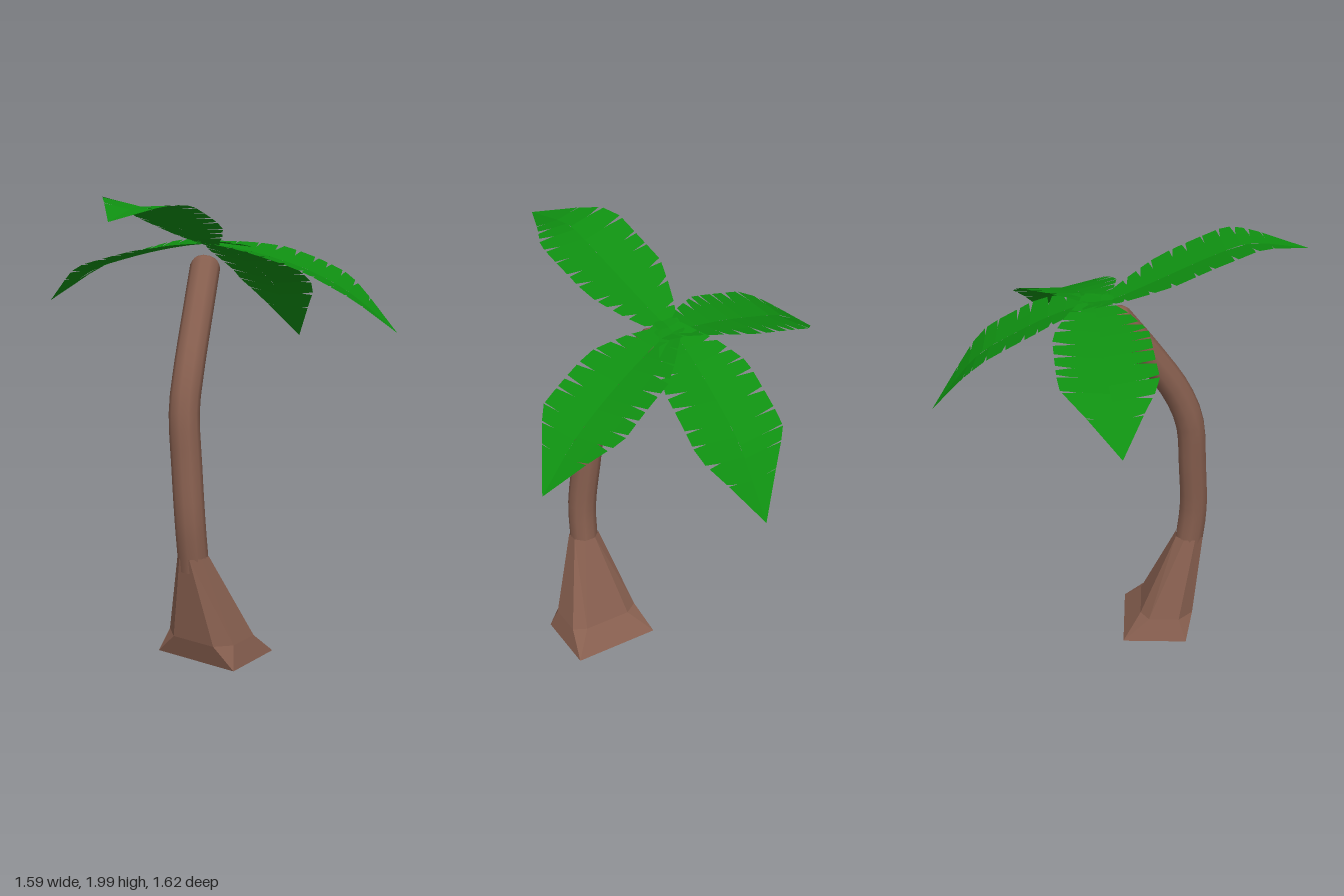
import * as THREE from 'three';

const bark = new THREE.MeshStandardMaterial({ color: 0x875f4f });
bark.name = 'bark brown';
const rootBark = bark.clone();
rootBark.name = 'root brown';
rootBark.flatShading = true;
const green = new THREE.MeshStandardMaterial({ color: 0x0f8f11, side: THREE.DoubleSide, flatShading: true });
green.name = 'leaf green';

const vec = (p) => new THREE.Vector3(...p);

// Geometry from a list of corner points, three per triangle
function fromTriangles(points) {
  const g = new THREE.BufferGeometry().setFromPoints(points);
  g.computeVertexNormals();
  return g;
}

function seeded(seed) {
  return () => (seed = (seed * 16807) % 2147483647) / 2147483647;
}

// Linear lookup in a list of [t, value]
function lookup(table, t) {
  for (let i = 1; i < table.length; i++) {
    const [t0, v0] = table[i - 1], [t1, v1] = table[i];
    if (t <= t1) return v0 + (v1 - v0) * (t - t0) / (t1 - t0);
  }
  return table[table.length - 1][1];
}

// Flared root: square foot rising to an octagonal neck
function makeRoot() {
  const L = 0.045, R = 0.445, F = 0.325, B = 0.03;
  const foot = [[L, F], [R, F], [R, F], [R, B], [R, B], [L, B], [L, B], [L, F]];
  const knee = [[0.15, 0.355], [0.36, 0.355], [0.42, 0.29], [0.42, 0.14],
    [0.36, 0.11], [0.14, 0.11], [0.08, 0.15], [0.08, 0.29]];
  const neck = knee.map((_, i) => {
    const a = (i * 2 - 5) * Math.PI / 8;
    return [0.24 + 0.068 * Math.cos(a), 0.335 - 0.068 * Math.sin(a)];
  });
  const rings = [[foot, 0], [knee, 0.1], [neck, 0.48]].map(([r, y]) => r.map(([x, z]) => vec([x, y, z])));
  const tris = [];
  for (let k = 0; k < 2; k++) {
    for (let i = 0; i < 8; i++) {
      const j = (i + 1) % 8, lo = rings[k], hi = rings[k + 1];
      tris.push(lo[j], hi[j], hi[i]);
      if (lo[i].distanceTo(lo[j]) > 0.001) tris.push(lo[i], lo[j], hi[i]);
    }
  }
  const f = rings[0];
  tris.push(f[0], f[5], f[3], f[0], f[3], f[1]);
  const mesh = new THREE.Mesh(fromTriangles(tris), rootBark);
  mesh.name = 'root';
  return mesh;
}

// Bent trunk with a rounded top
function makeTrunk() {
  const group = new THREE.Group();
  group.name = 'trunk';
  const path = new THREE.CatmullRomCurve3([
    [0.24, 0.42, 0.33], [0.235, 0.63, 0.35], [0.21, 0.87, 0.34], [0.184, 1.1, 0.322],
    [0.163, 1.26, 0.262], [0.11, 1.47, 0.13], [0.055, 1.655, 0.0],
  ].map(vec), false, 'centripetal');
  const stem = new THREE.Mesh(new THREE.TubeGeometry(path, 18, 0.065, 10), bark);
  stem.name = 'stem';
  const top = new THREE.Mesh(new THREE.SphereGeometry(0.065, 10, 8), bark);
  top.name = 'stemTop';
  top.scale.y = 0.7;
  top.position.copy(path.getPoint(1));
  top.quaternion.setFromUnitVectors(new THREE.Vector3(0, 1, 0), path.getTangent(1));
  group.add(stem, top);
  return group;
}

// Half width along the leaf
const widths = [[0, 0.04], [0.1, 0.07], [0.2, 0.13], [0.36, 0.2], [0.68, 0.205], [0.8, 0.125], [1, 0]];
const lastFinger = 0.82;

// Torn leaf: two halves around a midrib, each with slits along the rim
function makeLeaf(name, ribPoints, lifts, seed) {
  const rib = new THREE.CatmullRomCurve3(ribPoints.map(vec), false, 'centripetal');
  const random = seeded(seed);
  const tip = rib.getPointAt(1);
  const out = tip.clone().sub(rib.getPointAt(0)).setY(0).normalize();
  const side = new THREE.Vector3(out.z, 0, -out.x);
  const tris = [];
  const quad = (a, b, c, d) => tris.push(a, b, c, a, c, d);

  [1, -1].forEach((sign, half) => {
    // Point at t along the rib and fraction f of the way to the rim
    const at = (t, f) => {
      const w = lookup(widths, t) * f;
      return rib.getPointAt(t).addScaledVector(side, sign * w)
        .add(new THREE.Vector3(0, lifts[half] * w / 0.2, 0));
    };
    let t = 0;
    while (t < lastFinger) {
      let next = t + 0.055 + random() * 0.05;
      if (next > lastFinger - 0.04) next = lastFinger;
      const depth = 0.5 + random() * 0.2;
      const gap = (0.004 + random() * 0.018) * (t > 0.6 ? 0.7 : 1);
      quad(at(t, 0), at(next, 0), at(next, depth), at(t, depth));
      quad(at(t, depth), at(next, depth), at(next - gap * 0.6, 1), at(t + gap, 1));
      t = next;
    }
    tris.push(at(lastFinger, 0), tip, at(lastFinger, 1));
  });
  const mesh = new THREE.Mesh(fromTriangles(tris), green);
  mesh.name = name;
  return mesh;
}

export function createModel() {
  const model = new THREE.Group();
  model.name = 'palmTree';
  model.add(makeRoot(), makeTrunk());

  // Four leaves spreading from the crown
  model.add(
    makeLeaf('frontLeaf', [[0.01, 1.72, -0.13], [0.03, 1.76, 0], [0.07, 1.84, 0.2],
      [0.11, 1.92, 0.4], [0.135, 1.965, 0.55], [0.185, 1.93, 0.805]], [0.015, 0.035], 11),
    makeLeaf('backLeaf', [[0.02, 1.755, -0.01], [0.02, 1.74, -0.12], [0.02, 1.68, -0.28],
      [0.02, 1.59, -0.45], [0.02, 1.49, -0.6], [0.02, 1.23, -0.81]], [0.025, 0.025], 23),
    makeLeaf('leftLeaf', [[-0.03, 1.745, -0.06], [0.08, 1.735, -0.11], [0.25, 1.7, -0.18],
      [0.43, 1.64, -0.25], [0.6, 1.55, -0.31], [0.79, 1.39, -0.38]], [0.025, 0.025], 37),
    makeLeaf('rightLeaf', [[0.09, 1.745, -0.11], [-0.04, 1.735, -0.09], [-0.22, 1.7, -0.065],
      [-0.4, 1.65, -0.04], [-0.58, 1.585, -0.01], [-0.8, 1.43, 0.04]], [0.025, 0.025], 53),
  );
  return model;
}
